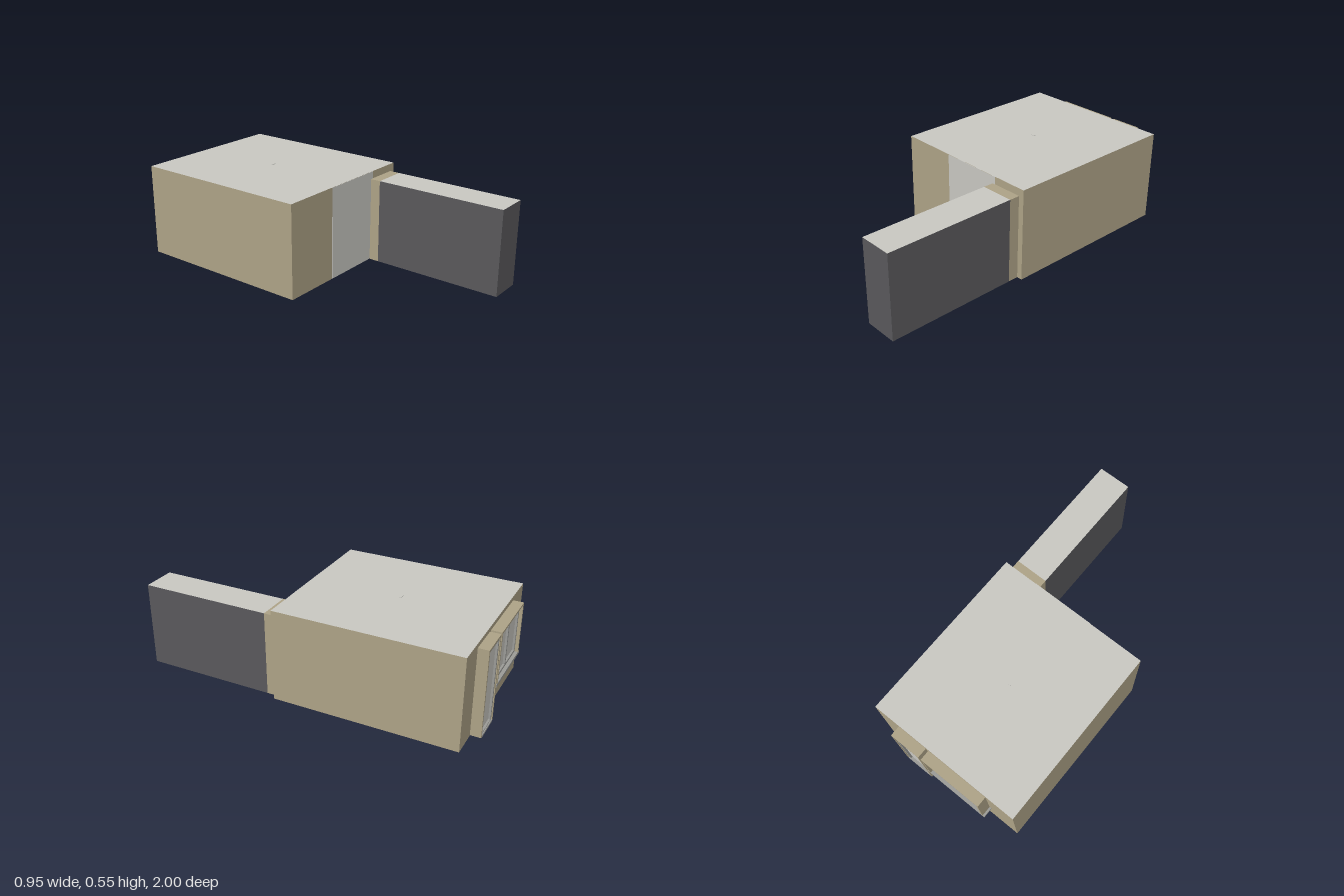
import * as THREE from 'three';

const mat = (name, color) => {
  const m = new THREE.MeshStandardMaterial({ color });
  m.name = name;
  return m;
};

export function createModel() {
  const tan = mat('tan wall', 0xada286);
  const concrete = mat('light concrete', 0xc8c7c1);
  const charcoal = mat('charcoal wall', 0x59585b);
  const brown = mat('brown floor', 0x6b5047);
  const grey = mat('grey frame', 0x9a9a96);

  const model = new THREE.Group();
  model.name = 'roomWithWing';

  // Box given by its lower and upper corner
  const block = (parent, name, material, [x0, y0, z0], [x1, y1, z1]) => {
    const geometry = new THREE.BoxGeometry(x1 - x0, y1 - y0, z1 - z0);
    const mesh = new THREE.Mesh(geometry, material);
    mesh.position.set((x0 + x1) / 2, (y0 + y1) / 2, (z0 + z1) / 2);
    mesh.name = name;
    parent.add(mesh);
    return mesh;
  };

  // Main room: tan walls, concrete roof, brown floor
  block(model, 'room', [tan, tan, concrete, brown, tan, tan], [-0.475, 0, -0.938], [0.475, 0.55, 0.152]);
  block(model, 'frontPanel', concrete, [-0.127, 0.001, 0.15], [0.258, 0.549, 0.154]);
  block(model, 'roofMarker', concrete, [-0.014, 0.549, -0.4], [0.014, 0.553, -0.388]);

  // Long wing with a tan joint next to the room
  block(model, 'wingJoint', [tan, tan, tan, brown, tan, tan], [0.241, 0, 0.152], [0.442, 0.505, 0.215]);
  block(model, 'wing', [charcoal, charcoal, concrete, brown, charcoal, charcoal], [0.241, 0, 0.215], [0.442, 0.505, 1]);

  // Projecting surround, recessed glass and frame bars on the back wall
  const opening = (name, x0, x1, y0, y1, panes, glassZ) => {
    const group = new THREE.Group();
    group.name = name;
    model.add(group);
    const t = 0.012, wall = -0.936, face = -0.999;
    block(group, 'leftJamb', tan, [x1 - t, y0, face], [x1, y1, wall]);
    block(group, 'rightJamb', tan, [x0, y0, face], [x0 + t, y1, wall]);
    block(group, 'hood', tan, [x0 + t, y1 - t, face], [x1 - t, y1, wall]);
    const a = x0 + t, b = x1 - t, top = y1 - t;
    block(group, 'glass', concrete, [a, y0, glassZ], [b, top, glassZ + 0.006]);
    const f = 0.014, front = glassZ - 0.012;
    for (const y of [y0, top - f])
      block(group, 'frameRail', grey, [a, y, front], [b, y + f, glassZ]);
    for (let i = 0; i <= panes; i++) {
      const x = a + ((b - a - f) * i) / panes;
      block(group, 'frameStile', grey, [x, y0 + f, front], [x + f, top - f, glassZ]);
    }
    return group;
  };

  const door = opening('door', 0.12, 0.312, 0.004, 0.524, 1, -0.982);
  block(door, 'threshold', grey, [0.132, 0, -1], [0.3, 0.012, -0.936]);

  const win = opening('window', -0.29, 0.102, 0.22, 0.524, 2, -0.968);
  block(win, 'sill', grey, [-0.302, 0.203, -1], [0.112, 0.22, -0.936]);

  return model;
}
